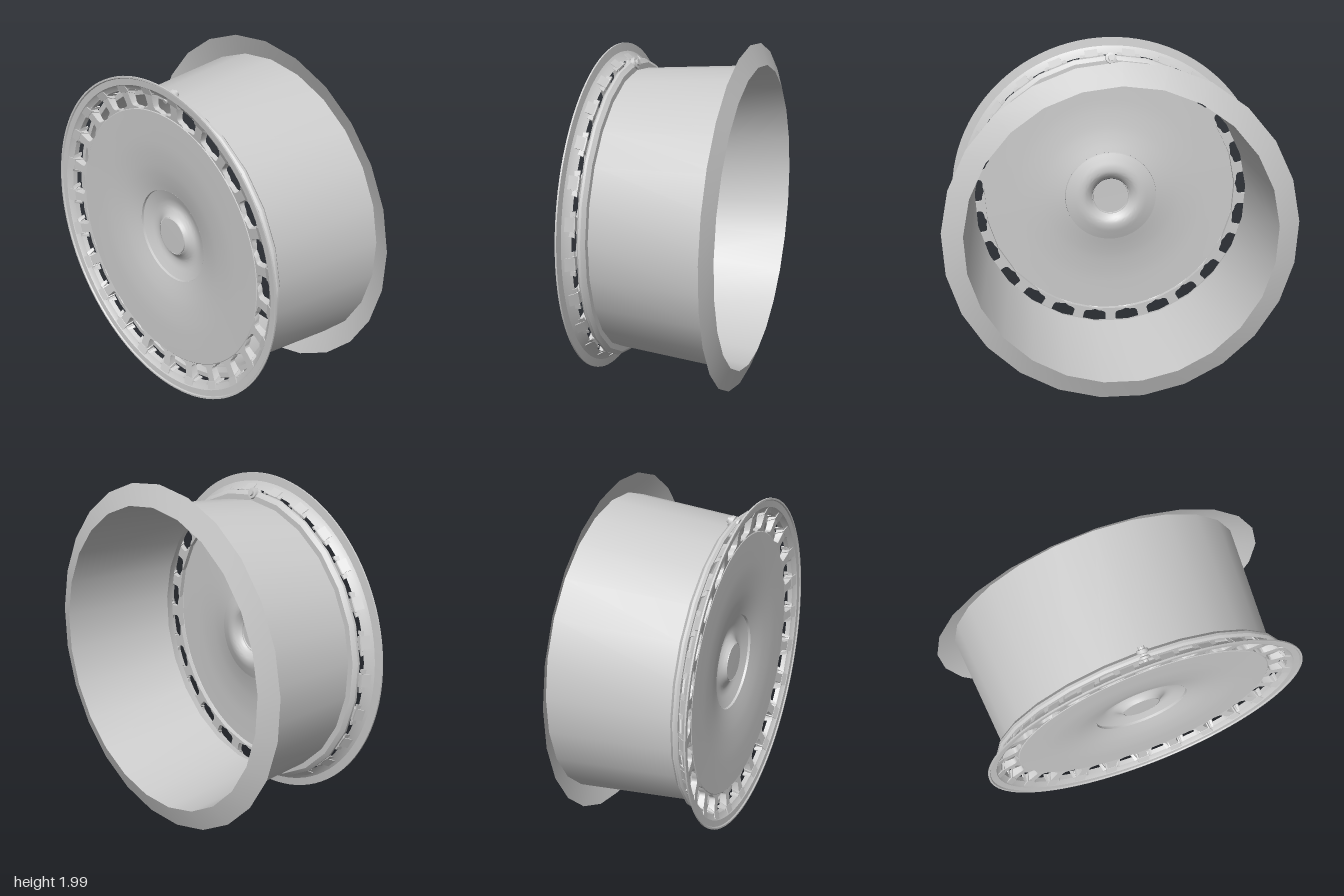
import * as THREE from 'three';
import { toCreasedNormals } from 'three/addons/utils/BufferGeometryUtils.js';

const SPOKES = 25;
const material = new THREE.MeshStandardMaterial({ color: 0xcccccc, side: THREE.DoubleSide });

// Turns a [radius, z] profile around the wheel axis, with one vertex at the top
function turned(name, profile, sides, crease = 0.5) {
  const points = profile.map(([r, z]) => new THREE.Vector2(r, z));
  let geometry = new THREE.LatheGeometry(points, sides, Math.PI);
  geometry.rotateX(Math.PI / 2);
  geometry = toCreasedNormals(geometry, crease);
  const mesh = new THREE.Mesh(geometry, material);
  mesh.name = name;
  return mesh;
}

// Smooth dish profile through a few [radius, z] points
function smoothProfile(points, count) {
  const curve = new THREE.SplineCurve(points.map(([r, z]) => new THREE.Vector2(r, z)));
  return curve.getPoints(count).map((p) => [p.x, p.y]);
}

// Spoke pointing along +y, flared at both ends so the windows have round corners
function spokeGeometry() {
  const s = new THREE.Shape();
  s.moveTo(-0.085, 0.757);
  s.lineTo(0.085, 0.757);
  s.lineTo(0.06, 0.772);
  s.quadraticCurveTo(0.026, 0.774, 0.026, 0.797);
  s.lineTo(0.028, 0.852);
  s.quadraticCurveTo(0.028, 0.872, 0.06, 0.874);
  s.lineTo(0.06, 0.882);
  s.lineTo(-0.06, 0.882);
  s.lineTo(-0.06, 0.874);
  s.quadraticCurveTo(-0.028, 0.872, -0.028, 0.852);
  s.lineTo(-0.026, 0.797);
  s.quadraticCurveTo(-0.026, 0.774, -0.06, 0.772);
  const geometry = new THREE.ExtrudeGeometry(s, { depth: 1, bevelEnabled: false, curveSegments: 4 });
  const pos = geometry.attributes.position;
  for (let i = 0; i < pos.count; i++) {
    const x = pos.getX(i), y = pos.getY(i);
    const front = pos.getZ(i) > 0.5;
    // the front rises towards the lip, the back is wider and pulled inward
    if (front) pos.setZ(i, 0.372 + (y - 0.757) * 0.16);
    else pos.setXYZ(i, x * 1.2, y > 0.87 ? y - 0.018 : y, 0.346);
  }
  return toCreasedNormals(geometry, 0.5);
}

// Gusset behind the lip, drawn in the radius-z plane
function gussetGeometry() {
  const s = new THREE.Shape([[0.84, 0.346], [0.862, 0.346], [0.905, 0.408], [0.86, 0.39]]
    .map(([r, z]) => new THREE.Vector2(r, z)));
  const width = 0.075;
  const geometry = new THREE.ExtrudeGeometry(s, { depth: width, bevelEnabled: false });
  geometry.translate(0, 0, -width / 2);
  // (r, z, side) becomes (side, r, z)
  const toWheel = new THREE.Matrix4().makeBasis(
    new THREE.Vector3(0, 1, 0), new THREE.Vector3(0, 0, 1), new THREE.Vector3(1, 0, 0));
  geometry.applyMatrix4(toWheel);
  return geometry;
}

export function createModel() {
  const model = new THREE.Group();
  model.name = 'wheel';
  const wheel = new THREE.Group();
  wheel.name = 'wheelAssembly';
  wheel.position.y = 1;
  model.add(wheel);

  // Barrel, rear flange and front bead seat share the coarse side count
  wheel.add(turned('barrel', [[0.82, 0.29], [0.878, -0.42]], SPOKES));
  wheel.add(turned('rearFlange', [[0.878, -0.42], [1.0, -0.372]], SPOKES));
  wheel.add(turned('beadSeat', [
    [0.82, 0.29], [0.852, 0.292], [0.873, 0.312], [0.873, 0.326],
    [0.862, 0.338], [0.835, 0.338], [0.82, 0.29],
  ], SPOKES));

  // Front lip
  wheel.add(turned('frontLip', [
    [0.868, 0.362], [0.874, 0.388], [0.896, 0.4], [0.906, 0.411], [0.942, 0.414],
    [0.947, 0.421], [0.957, 0.421], [0.957, 0.412], [0.91, 0.405], [0.888, 0.388], [0.868, 0.362],
  ], 100));

  // Dished disc with a wall at its edge
  const dish = smoothProfile([
    [0.76, 0.376], [0.65, 0.374], [0.54, 0.37], [0.43, 0.359], [0.35, 0.345], [0.277, 0.328],
  ], 24);
  wheel.add(turned('disc', [[0.765, 0.346], [0.765, 0.372], ...dish], 100));

  // Hub: a round trough that rises to a boss
  const trough = smoothProfile([
    [0.275, 0.314], [0.235, 0.3], [0.195, 0.288], [0.16, 0.288], [0.13, 0.305], [0.112, 0.324],
  ], 20);
  wheel.add(turned('hub', [[0.277, 0.328], ...trough], 64));
  wheel.add(turned('centreCap', [[0.112, 0.318], [0.108, 0.318], [0.106, 0.326], [0, 0.327]], 48));

  // Spokes and gussets
  const spoke = spokeGeometry();
  const gusset = gussetGeometry();
  for (let i = 0; i < SPOKES; i++) {
    const arm = new THREE.Group();
    arm.name = 'spoke' + (i + 1);
    const body = new THREE.Mesh(spoke, material);
    body.name = 'spokeBody';
    const rib = new THREE.Mesh(gusset, material);
    rib.name = 'spokeGusset';
    arm.add(body, rib);
    arm.rotation.z = Math.PI + (i * 2 * Math.PI) / SPOKES;
    wheel.add(arm);
  }

  // Valve at the top, tilted outward to the rear
  const valve = turned('valve', [
    [0, -0.045], [0.018, -0.045], [0.018, -0.032], [0.032, -0.03], [0.034, -0.01],
    [0.024, -0.006], [0.024, 0.004], [0.032, 0.008], [0.032, 0.02], [0.015, 0.024],
    [0.015, 0.045], [0, 0.045],
  ], 16);
  valve.position.set(0, 0.853, 0.318);
  valve.rotation.x = 0.35;
  wheel.add(valve);

  return model;
}
